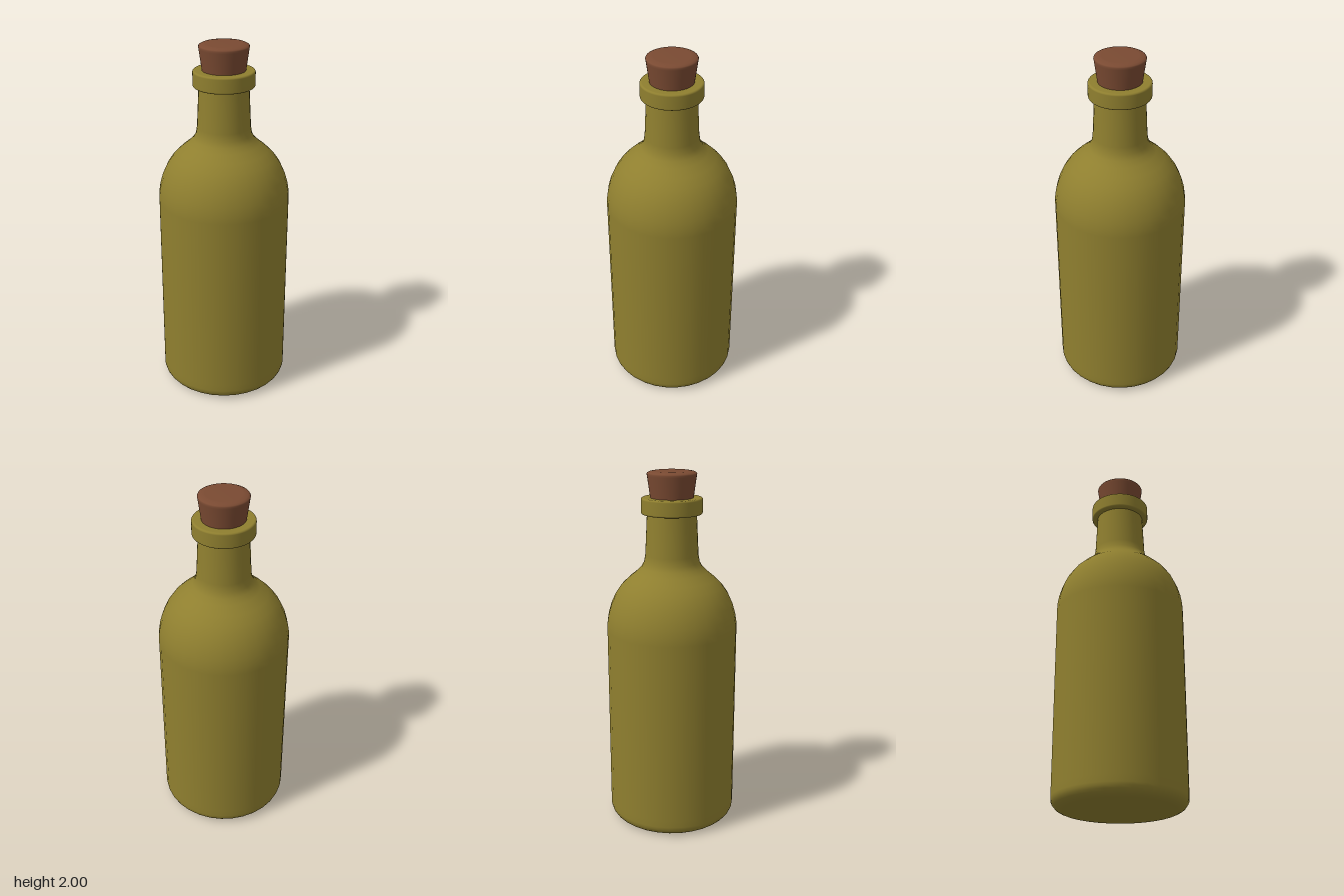
import * as THREE from 'three';

const glass = new THREE.MeshStandardMaterial({ color: 0x8f7f2f });
glass.name = 'olive glass';
const cork = new THREE.MeshStandardMaterial({ color: 0x7a4a32 });
cork.name = 'brown cork';

// Revolves a bottom-to-top list of [radius, height] pairs
function turned(name, profile, sides, material) {
  const points = profile.map(([r, y]) => new THREE.Vector2(r, y));
  const mesh = new THREE.Mesh(new THREE.LatheGeometry(points, sides), material);
  mesh.name = name;
  return mesh;
}

// Quarter-circle arc of profile pairs around a centre, from angle a to b in degrees
function arc(cx, cy, rx, ry, a, b, steps) {
  return Array.from({ length: steps + 1 }, (_, i) => {
    const t = THREE.MathUtils.degToRad(a + ((b - a) * i) / steps);
    return [cx + rx * Math.cos(t), cy + ry * Math.sin(t)];
  });
}

export function createModel() {
  const model = new THREE.Group();
  model.name = 'corkedBottle';

  // Flat base, rounded foot, straight wall, domed shoulder and tapered neck
  const body = turned('bottleBody', [
    [0, 0], [0.29, 0],
    ...arc(0.303, 0.06, 0.06, 0.06, -90, 0, 6),
    [0.363, 0.1], [0.363, 1.13], [0.362, 1.17], [0.354, 1.22], [0.338, 1.275],
    [0.313, 1.33], [0.28, 1.378], [0.24, 1.418], [0.195, 1.455],
    [0.168, 1.482], [0.153, 1.51], [0.146, 1.55], [0.135, 1.78],
  ], 32, glass);

  // Ring around the mouth, with a bore for the stopper
  const lip = turned('mouthRing', [
    [0.11, 1.772], [0.155, 1.772],
    ...arc(0.157, 1.782, 0.01, 0.01, -90, 0, 4),
    ...arc(0.157, 1.85, 0.01, 0.01, 0, 90, 4),
    [0.155, 1.86], [0.112, 1.86], [0.11, 1.858], [0.11, 1.772],
  ], 64, glass);

  // Tapered stopper with a softened top edge
  const stopper = turned('corkStopper', [
    [0, 1.78], [0.104, 1.78], [0.105, 1.782], [0.117, 1.86], [0.133, 1.975],
    [0.135, 1.985], [0.132, 1.991], [0.122, 1.996], [0.105, 1.999], [0.095, 2], [0, 2],
  ], 64, cork);

  model.add(body, lip, stopper);
  return model;
}
